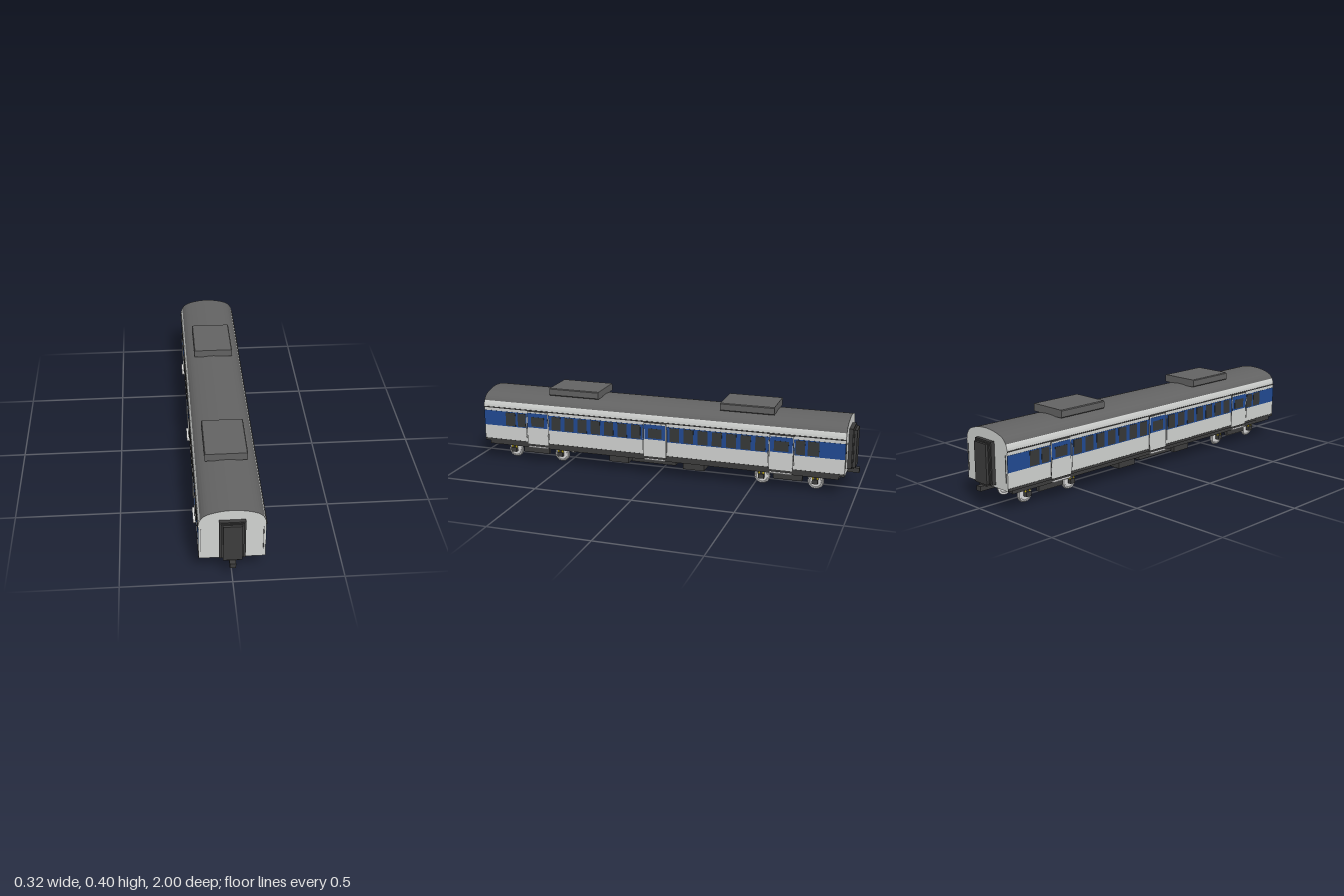
import * as THREE from 'three';
import { toCreasedNormals } from 'three/addons/utils/BufferGeometryUtils.js';

const mat = (name, color) => {
  const m = new THREE.MeshStandardMaterial({ color });
  m.name = name;
  return m;
};

export function createModel() {
  const light = mat('light grey paint', 0xd0d2d0);
  const roofGrey = mat('roof grey', 0x626262);
  const dark = mat('dark grey', 0x3c3c3c);
  const glass = mat('window glass', 0x363838);
  const blue = mat('blue band', 0x214a92);
  const steel = mat('wheel steel', 0xd8d8d8);
  const yellow = mat('yellow', 0xd4bc1c);

  const model = new THREE.Group();
  model.name = 'railCoach';

  const add = (name, geo, material, x = 0, y = 0, z = 0, parent = model) => {
    const m = new THREE.Mesh(geo, material);
    m.name = name;
    m.position.set(x, y, z);
    parent.add(m);
    return m;
  };
  // box given by its extents
  const box = (name, material, x0, x1, y0, y1, z0, z1, parent = model) =>
    add(name, new THREE.BoxGeometry(x1 - x0, y1 - y0, z1 - z0), material,
      (x0 + x1) / 2, (y0 + y1) / 2, (z0 + z1) / 2, parent);
  const rod = (name, material, r, len, axis, x, y, z, parent = model) => {
    const g = new THREE.CylinderGeometry(r, r, len, 20);
    if (axis === 'x') g.rotateZ(Math.PI / 2);
    if (axis === 'z') g.rotateX(Math.PI / 2);
    return add(name, g, material, x, y, z, parent);
  };

  // Body shell and arched roof
  const L = 0.947;
  box('body', light, -0.147, 0.147, 0.1, 0.285, -L, L);
  const arch = new THREE.CatmullRomCurve3([
    [0.148, 0.285], [0.145, 0.304], [0.135, 0.324], [0.118, 0.34],
    [0.085, 0.353], [0.04, 0.362], [0, 0.365],
  ].map(([x, y]) => new THREE.Vector3(x, y, 0)));
  const half = arch.getPoints(30);
  const extrudeProfile = (pts) => {
    const all = [...pts, ...pts.slice().reverse().filter(p => p.x > 1e-4)
      .map(p => new THREE.Vector3(-p.x, p.y, 0))];
    const g = new THREE.ExtrudeGeometry(new THREE.Shape(all.map(p => new THREE.Vector2(p.x, p.y))),
      { depth: 2 * L, bevelEnabled: false });
    g.translate(0, 0, -L);
    return toCreasedNormals(g, 0.5);
  };
  const split = half.findIndex(p => p.y > 0.314);
  add('cantRail', extrudeProfile(half.slice(0, split + 1)), light);
  add('roof', extrudeProfile(half.slice(split)), [light, roofGrey]);

  // Roof air-conditioning units with chamfered ends
  for (const s of [-1, 1]) {
    const unit = new THREE.Shape([
      [-0.1, 0.364], [-0.097, 0.36], [0.097, 0.36], [0.1, 0.364],
      [0.1, 0.394], [0.096, 0.398], [-0.096, 0.398], [-0.1, 0.394],
    ].map(p => new THREE.Vector2(...p)));
    const g = new THREE.ExtrudeGeometry(unit, { depth: 0.27, bevelEnabled: false });
    add('roofUnit', g, roofGrey, 0, 0, s * 0.455 - 0.135);
  }

  // Window centre and width along each side
  const windows = [];
  for (const s of [-1, 1]) {
    windows.push([s * 0.795, 0.055], [s * 0.732, 0.045]);
    for (let i = 0; i < 7; i++) windows.push([s * (0.102 + i * 0.0725), 0.05]);
  }

  for (const s of [-1, 1]) {
    const side = new THREE.Group();
    side.name = s > 0 ? 'leftSide' : 'rightSide';
    model.add(side);
    const plate = (name, m, xa, xb, y0, y1, z0, z1) =>
      box(name, m, Math.min(s * xa, s * xb), Math.max(s * xa, s * xb), y0, y1, z0, z1, side);

    plate('blueBand', blue, 0.146, 0.1485, 0.186, 0.265, -L, L);
    plate('sillStrip', dark, 0.146, 0.1485, 0.1, 0.113, -L, L);
    plate('gutter', dark, 0.145, 0.151, 0.281, 0.286, -L, L);
    plate('skirt', dark, 0.135, 0.143, 0.082, 0.1, -0.92, 0.92);
    for (const [z, w] of windows)
      plate('window', glass, 0.146, 0.1495, 0.19, 0.261, z - w / 2, z + w / 2);

    // Doors, each with blue surround, window, handrails and step
    for (const z of [-0.64, 0, 0.64]) {
      plate('doorFrame', dark, 0.146, 0.149, 0.1, 0.281, z - 0.06, z + 0.06);
      plate('door', light, 0.146, 0.15, 0.103, 0.277, z - 0.057, z + 0.057);
      plate('doorBand', blue, 0.146, 0.151, 0.193, 0.27, z - 0.055, z + 0.055);
      plate('doorWindow', glass, 0.146, 0.152, 0.2, 0.25, z - 0.036, z + 0.036);
      plate('step', steel, 0.13, 0.16, 0.086, 0.09, z - 0.055, z + 0.055);
      for (const e of [-1, 1])
        rod('doorHandrail', steel, 0.0016, 0.115, 'y', s * 0.153, 0.193, z + e * 0.063, side);
    }
  }

  // Ends: gangway bellows, coupler and handrails
  for (const s of [1, -1]) {
    const end = new THREE.Group();
    end.name = s > 0 ? 'frontEnd' : 'backEnd';
    end.rotation.y = s > 0 ? 0 : Math.PI;
    model.add(end);
    box('gangwayBase', dark, -0.058, 0.058, 0.113, 0.314, 0.94, 0.966, end);
    box('gangwayFold', dark, -0.05, 0.05, 0.119, 0.308, 0.966, 0.972, end);
    box('gangwayPlate', dark, -0.042, 0.042, 0.115, 0.304, 0.972, 0.984, end);
    box('couplerMount', dark, -0.03, 0.03, 0.105, 0.114, 0.93, 0.975, end);
    box('coupler', dark, -0.014, 0.014, 0.083, 0.106, 0.88, 1.0, end);
    for (const x of [-0.137, 0.137])
      rod('endHandrail', roofGrey, 0.0014, 0.128, 'y', x, 0.203, 0.949, end);
  }

  // Underframe and hanging equipment
  box('underframe', roofGrey, -0.137, 0.137, 0.088, 0.101, -0.925, 0.925);
  box('equipmentBox', dark, 0.03, 0.125, 0.046, 0.09, 0.15, 0.255);
  box('equipmentBox', dark, -0.125, -0.03, 0.046, 0.09, 0.15, 0.255);
  box('centreTank', dark, -0.115, 0.115, 0.056, 0.09, -0.1, 0.135);
  box('equipmentBox', dark, -0.125, -0.03, 0.046, 0.09, -0.25, -0.14);
  box('equipmentBox', dark, 0.03, 0.125, 0.046, 0.09, -0.25, -0.14);
  box('rearTray', dark, -0.075, 0.075, 0.066, 0.09, -0.46, -0.31);
  rod('airCylinder', dark, 0.011, 0.05, 'x', 0, 0.071, 0.325);

  // Wheel profile with flange on the inner face
  const wheelGeo = new THREE.LatheGeometry([
    [0, -0.004], [0.028, -0.004], [0.03, -0.007], [0.04, -0.007], [0.04, -0.003],
    [0.037, -0.002], [0.036, 0.006], [0.03, 0.006], [0.028, 0.003], [0, 0.003],
  ].map(p => new THREE.Vector2(...p)), 28);
  const wheelSmooth = toCreasedNormals(wheelGeo, 0.5);

  // Bogies
  for (const z of [0.672, -0.668]) {
    const bogie = new THREE.Group();
    bogie.name = 'bogie';
    bogie.position.z = z;
    model.add(bogie);
    box('bolster', dark, -0.1, 0.1, 0.055, 0.089, -0.05, 0.05, bogie);
    for (const s of [-1, 1]) {
      const x = s * 0.097;
      box('sideFrame', dark, x - 0.009, x + 0.009, 0.078, 0.09, -0.17, 0.17, bogie);
      box('springBeam', dark, x - 0.009, x + 0.009, 0.042, 0.08, -0.072, 0.072, bogie);
      box('crossBeam', dark, -0.09, 0.09, 0.07, 0.088, s * 0.085 - 0.012, s * 0.085 + 0.012, bogie);
    }
    for (const az of [-0.133, 0.133]) {
      rod('axle', steel, 0.007, 0.18, 'x', 0, 0.045, az, bogie);
      for (const s of [-1, 1]) {
        const wheel = add('wheel', wheelSmooth, steel, s * 0.077, 0.04, az, bogie);
        wheel.rotation.z = -s * Math.PI / 2;
        box('axleBox', dark, s * 0.0975 - 0.0105, s * 0.0975 + 0.0105, 0.034, 0.057, az - 0.014, az + 0.014, bogie);
        box('springCore', dark, s * 0.096 - 0.006, s * 0.096 + 0.006, 0.056, 0.08, az - 0.006, az + 0.006, bogie);
        for (const e of [-1, 1])
          rod('spring', yellow, 0.005, 0.022, 'y', s * 0.098, 0.067, az + e * 0.011, bogie);
      }
    }
  }
  return model;
}
